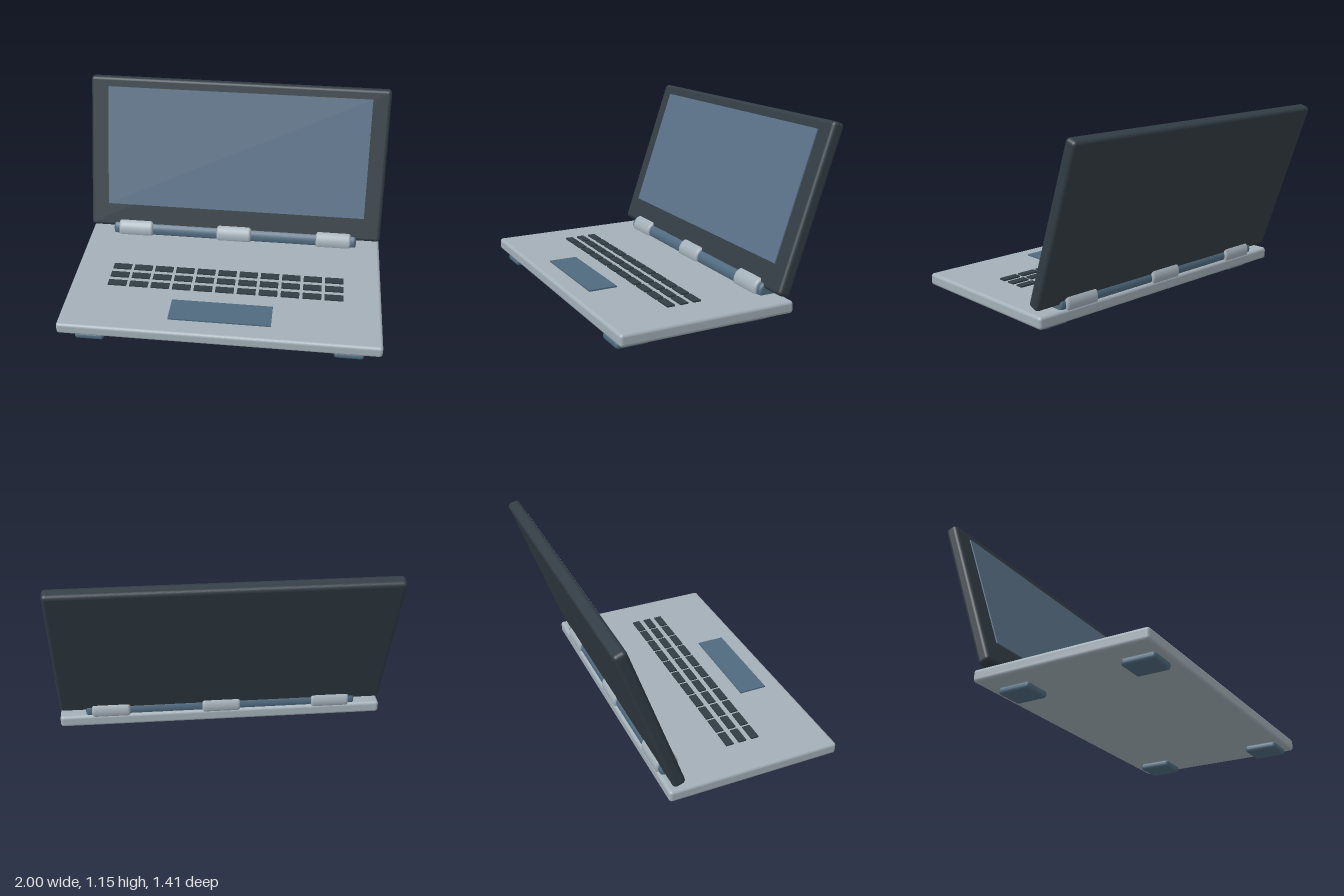
import * as THREE from 'three';
import { RoundedBoxGeometry } from 'three/addons/geometries/RoundedBoxGeometry.js';

function material(name, color) {
  const m = new THREE.MeshStandardMaterial({ color });
  m.name = name;
  return m;
}

export function createModel() {
  const silver = material('silver', 0xa3afb8);
  const charcoal = material('charcoal', 0x323c44);
  const slate = material('slate blue', 0x506a7e);
  const glass = material('screen blue', 0x5a7086);
  const model = new THREE.Group();
  model.name = 'laptop';

  function add(name, geometry, mat, x, y, z, parent = model) {
    const mesh = new THREE.Mesh(geometry, mat);
    mesh.name = name;
    mesh.position.set(x, y, z);
    parent.add(mesh);
    return mesh;
  }

  // Solid barrel along x with rounded rims
  function barrel(length, radius, bevel) {
    const h = length / 2;
    const points = [new THREE.Vector2(0, -h)];
    for (const s of [-1, 1]) {
      for (let i = 0; i <= 4; i++) {
        const a = (s < 0 ? i : 4 - i) * Math.PI / 8;
        points.push(new THREE.Vector2(
          radius - bevel + bevel * Math.sin(a),
          s * (h - bevel + bevel * Math.cos(a))));
      }
    }
    points.push(new THREE.Vector2(0, h));
    return new THREE.LatheGeometry(points, 32).rotateZ(Math.PI / 2);
  }

  // Base slab
  add('base', new RoundedBoxGeometry(2, 0.076, 1.104, 4, 0.02), silver, 0, 0.095, 0.152);

  // Four feet
  const footGeometry = new RoundedBoxGeometry(0.184, 0.046, 0.206, 4, 0.02);
  for (const x of [-0.803, 0.803]) {
    for (const z of [-0.2, 0.577]) add('foot', footGeometry, slate, x, 0.025, z);
  }

  // Keyboard: three rows of eleven keys
  const keyboard = new THREE.Group();
  keyboard.name = 'keyboard';
  model.add(keyboard);
  const keyGeometry = new THREE.BoxGeometry(0.119, 0.009, 0.05);
  for (let row = 0; row < 3; row++) {
    for (let col = 0; col < 11; col++) {
      add('key', keyGeometry, charcoal, (col - 5) * 0.14, 0.1375, 0.102 + row * 0.085, keyboard);
    }
  }

  // Touchpad
  add('touchpad', new THREE.BoxGeometry(0.64, 0.009, 0.18), slate, 0, 0.1375, 0.494);

  // Hinge rod with three knuckles
  add('hingeRod', barrel(1.68, 0.058, 0.018), slate, 0, 0.153, -0.33);
  const knuckleGeometry = barrel(0.238, 0.073, 0.018);
  for (const x of [-0.684, 0, 0.684]) {
    add('hingeKnuckle', knuckleGeometry, silver, x, 0.153, -0.33);
  }

  // Lid leaning back, carrying the screen
  const lid = new THREE.Group();
  lid.name = 'lid';
  lid.position.set(0, 0.6555, -0.5025);
  lid.rotation.x = -0.335;
  model.add(lid);
  add('lidShell', new RoundedBoxGeometry(2, 1.04, 0.08, 4, 0.024), charcoal, 0, 0, 0, lid);
  add('screen', new THREE.BoxGeometry(1.76, 0.812, 0.009), glass, 0, 0.048, 0.043, lid);

  return model;
}
